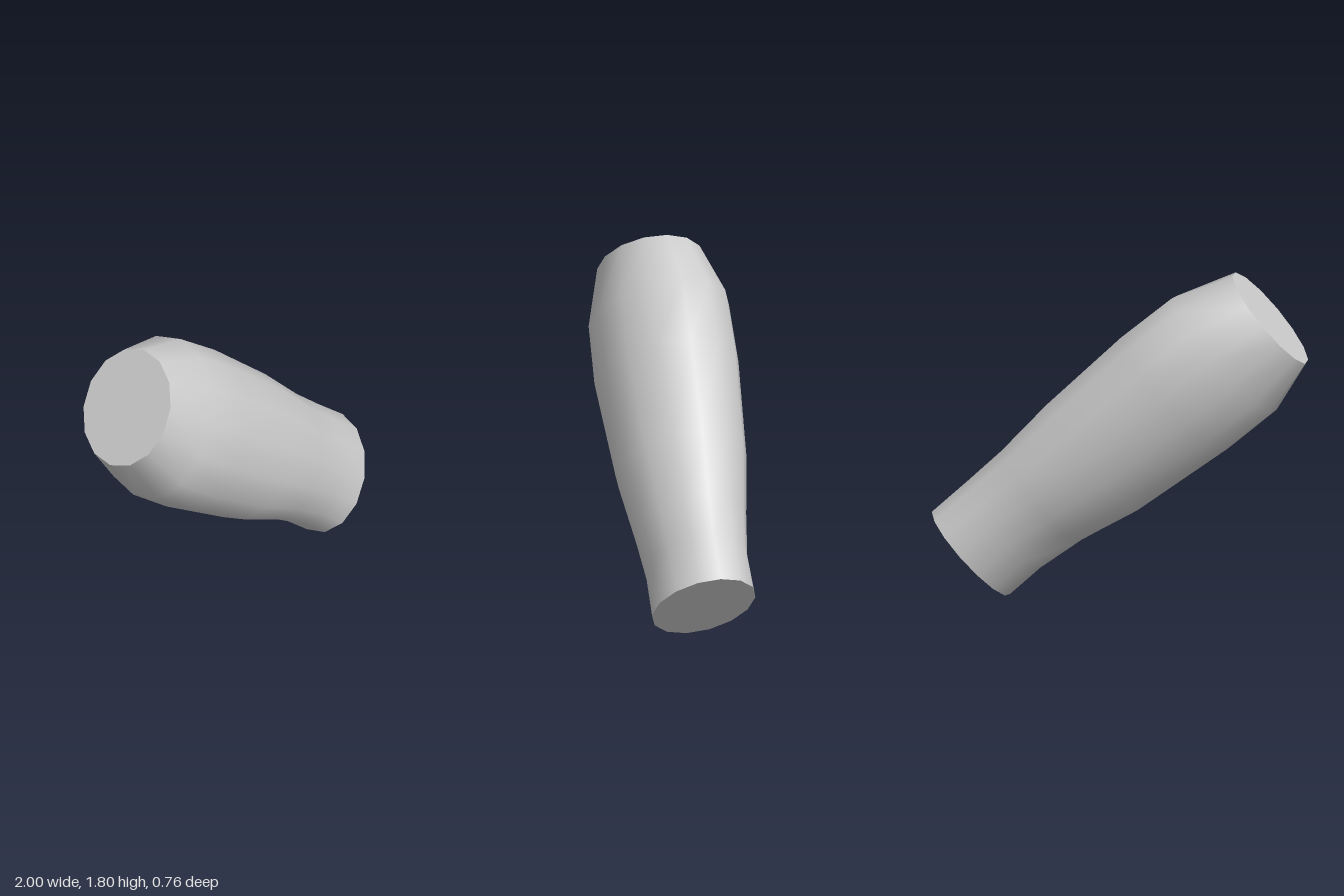
import * as THREE from 'three';

const SIDES = 14;

// Cross-sections from upper to lower end:
// [upper edge x, y, lower edge x, y, centre z, half depth, skew angle]
const RINGS = [
  [-0.60, 1.80, -1.00, 1.31, 0.01, 0.28, 0.10],
  [-0.28, 1.68, -0.83, 1.03, 0.00, 0.37, 0.19],
  [-0.01, 1.46, -0.57, 0.81, 0.00, 0.38, 0.19],
  [0.39, 1.08, -0.11, 0.48, -0.01, 0.347, 0.17],
  [0.63, 0.82, 0.21, 0.30, -0.015, 0.297, 0.20],
  [0.80, 0.66, 0.43, 0.145, -0.02, 0.267, 0.22],
  [1.00, 0.48, 0.59, 0.00, -0.03, 0.272, 0.22],
];

// Points of one slightly skewed elliptical ring
function ringPoints([ux, uy, lx, ly, cz, depth, skew]) {
  const points = [];
  for (let j = 0; j < SIDES; j++) {
    const t = (j / SIDES) * Math.PI * 2;
    const s = Math.sin(t - skew) / 2;
    points.push([
      (ux + lx) / 2 + (ux - lx) * s,
      (uy + ly) / 2 + (uy - ly) * s,
      cz + depth * Math.cos(t),
    ]);
  }
  return points;
}

function makeMesh(name, points, index, material) {
  const geometry = new THREE.BufferGeometry();
  geometry.setAttribute('position', new THREE.Float32BufferAttribute(points.flat(), 3));
  geometry.setIndex(index);
  geometry.computeVertexNormals();
  const mesh = new THREE.Mesh(geometry, material);
  mesh.name = name;
  return mesh;
}

// Flat end, fanned from its first corner
function makeCap(name, points, flip, material) {
  const index = [];
  for (let j = 1; j < SIDES - 1; j++) index.push(0, flip ? j + 1 : j, flip ? j : j + 1);
  return makeMesh(name, points, index, material);
}

export function createModel() {
  const group = new THREE.Group();
  group.name = 'limbSegment';
  const material = new THREE.MeshStandardMaterial({ color: 0xcccccc });
  const rings = RINGS.map(ringPoints);

  // Smooth skin between the rings
  const index = [];
  for (let i = 0; i < rings.length - 1; i++) {
    for (let j = 0; j < SIDES; j++) {
      const k = (j + 1) % SIDES;
      const a = i * SIDES + j, b = i * SIDES + k;
      const c = a + SIDES, d = b + SIDES;
      index.push(a, c, b, b, c, d);
    }
  }
  group.add(makeMesh('limbSkin', rings.flat(), index, material));

  // Flat closed ends
  group.add(makeCap('upperEnd', rings[0], false, material));
  group.add(makeCap('lowerEnd', rings[rings.length - 1], true, material));
  return group;
}
